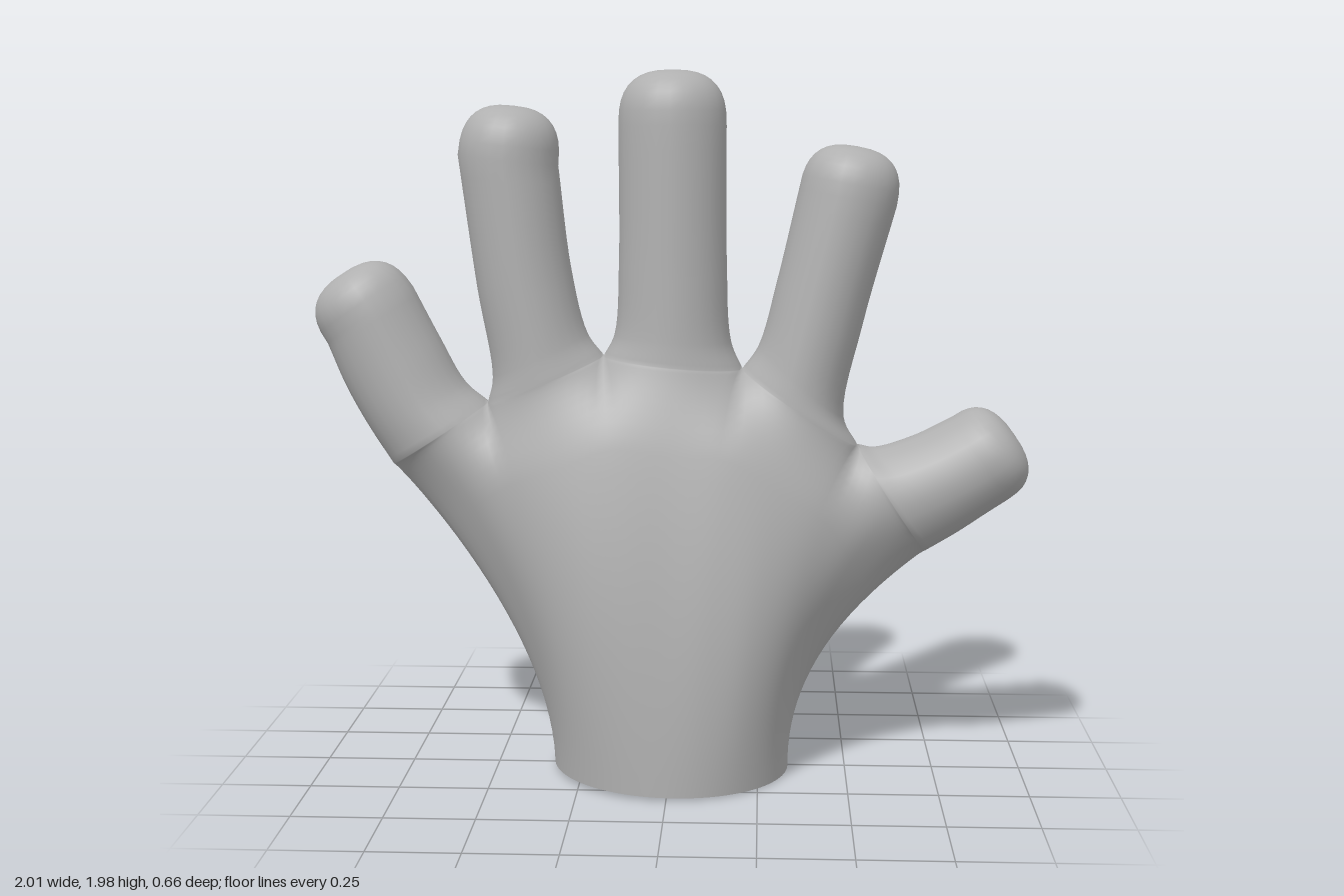
import * as THREE from 'three';
import { mergeVertices } from 'three/addons/utils/BufferGeometryUtils.js';

const ARC = 12;        // steps across the front of each finger column
const SPLIT = 0.8;     // how far up the palm the fingers begin to separate
const { lerp } = THREE.MathUtils;
const V = (x, y, z = 0) => new THREE.Vector3(x, y, z);

// Finger outlines, from web to cap: left edge, right edge, cap height
const FINGERS = [
  { name: 'littleFinger', cap: 0.14,
    left: [[-0.79, 0.88], [-0.86, 0.99], [-0.92, 1.1], [-0.97, 1.22]],
    right: [[-0.52, 1.055], [-0.585, 1.11], [-0.655, 1.235], [-0.73, 1.38]] },
  { name: 'ringFinger', cap: 0.15,
    left: [[-0.52, 1.055], [-0.505, 1.13], [-0.545, 1.38], [-0.595, 1.75]],
    right: [[-0.19, 1.19], [-0.235, 1.25], [-0.28, 1.43], [-0.315, 1.72]] },
  { name: 'middleFinger', cap: 0.152,
    left: [[-0.19, 1.19], [-0.16, 1.25], [-0.147, 1.45], [-0.147, 1.83]],
    right: [[0.2, 1.155], [0.168, 1.23], [0.155, 1.45], [0.153, 1.83]] },
  { name: 'indexFinger', cap: 0.14,
    left: [[0.2, 1.155], [0.245, 1.22], [0.295, 1.4], [0.355, 1.66]],
    right: [[0.525, 0.94], [0.485, 1.02], [0.535, 1.28], [0.625, 1.61]] },
  { name: 'thumb', cap: 0.115,
    left: [[0.525, 0.94], [0.57, 0.932], [0.68, 0.965], [0.79, 1.02]],
    right: [[0.72, 0.64], [0.81, 0.695], [0.89, 0.75], [0.95, 0.79]] },
];
const ROOT_DEPTH = 0.158;
const TIP_DEPTH = 0.146;

// Top edge of the palm: webs and finger-root centres, from left to right
const webs = [FINGERS[0].left[0], ...FINGERS.map((f) => f.right[0])];
const palmTop = [];
for (let k = 0; k <= 10; k++) {
  const a = webs[Math.floor(k / 2)], b = webs[Math.ceil(k / 2)];
  palmTop.push([(a[0] + b[0]) / 2, (a[1] + b[1]) / 2]);
}
const TOP_DEPTH = [0, 0.14, 0.15, 0.155, 0.16, 0.165, 0.16, 0.155, 0.15, 0.14, 0];

// Front half of an elliptical section between two edge points
function halfEllipse(left, right, depth) {
  const points = [];
  for (let i = 0; i <= ARC; i++) {
    const angle = (i / ARC) * Math.PI;
    const p = left.clone().lerp(right, (1 - Math.cos(angle)) / 2);
    p.z = depth * Math.sin(angle);
    points.push(p);
  }
  return points;
}

// Palm control point k (0 to 10 across the front) at height t
function palmControl(k, t) {
  const angle = (k / 10) * Math.PI;
  const wristX = -0.336 * Math.cos(angle);
  const wristY = 0.0075 - 0.022 * wristX;
  const bulge = 0.04 * Math.sin(Math.PI * t) * Math.sin(2 * angle) ** 2;
  return V(
    lerp(wristX, palmTop[k][0], t ** (1.7 + 0.05 * k)),
    lerp(wristY, palmTop[k][1], t),
    k % 10 === 0 ? 0 : lerp(0.33 * Math.sin(angle), TOP_DEPTH[k], t ** 2.1) + bulge,
  );
}

// One palm section; "split" moves it from a single loop to five finger roots
function palmRow(t, split) {
  const front = [];
  for (let k = 0; k <= 10; k++) front.push(palmControl(k, t));
  const back = front.slice(1, 10).reverse().map((p) => V(p.x, p.y, -p.z));
  const loop = new THREE.CatmullRomCurve3([...front, ...back], true, 'catmullrom');
  const row = [];
  for (let j = 0; j < 5; j++) {
    const l = front[2 * j], r = front[2 * j + 2];
    const roots = halfEllipse(V(l.x, l.y), V(r.x, r.y), ROOT_DEPTH);
    roots.forEach((root, i) => {
      if (j > 0 && i === 0) return;
      row.push(loop.getPoint((2 * j + (2 * i) / ARC) / 20).lerp(root, split));
    });
  }
  return row;
}

function palmRows() {
  const rows = [];
  for (let i = 0; i < 16; i++) rows.push(palmRow((SPLIT * i) / 16, 0));
  for (let i = 0; i <= 10; i++) {
    const angle = (i / 10) * Math.PI / 2;
    rows.push(palmRow(SPLIT + (1 - SPLIT) * Math.sin(angle), 1 - Math.cos(angle)));
  }
  return rows;
}

function fingerRows({ left, right, cap }) {
  const edge = (pts) => new THREE.CatmullRomCurve3(pts.map(([x, y]) => V(x, y)));
  const l = edge(left), r = edge(right);
  const rows = [];
  for (let i = 0; i <= 18; i++) {
    const v = i / 18;
    rows.push(halfEllipse(l.getPoint(v), r.getPoint(v), lerp(ROOT_DEPTH, TIP_DEPTH, v)));
  }
  // Blunt rounded cap
  const a = l.getPoint(1), b = r.getPoint(1);
  const centre = a.clone().add(b).multiplyScalar(0.5);
  const up = V(a.y - b.y, b.x - a.x).normalize();
  const base = rows[rows.length - 1];
  for (let i = 1; i <= 9; i++) {
    const angle = (i / 9) * Math.PI / 2;
    const scale = Math.cos(angle) ** 0.75;
    const lift = cap * Math.sin(angle) ** 0.75;
    rows.push(base.map((p) => p.clone().sub(centre).multiplyScalar(scale)
      .add(centre).addScaledVector(up, lift)));
  }
  return rows;
}

// Adds triangles for a grid of rows and for its mirror image at the back
function addSkin(out, rows) {
  const triangle = (a, b, c) => {
    for (const p of [a, b, c]) out.push(p.x, p.y, p.z);
    for (const p of [a, c, b]) out.push(p.x, p.y, -p.z);
  };
  for (let i = 0; i < rows.length - 1; i++) {
    for (let m = 0; m < rows[i].length - 1; m++) {
      const a = rows[i][m], b = rows[i][m + 1];
      const c = rows[i + 1][m + 1], d = rows[i + 1][m];
      triangle(a, b, c);
      triangle(a, c, d);
    }
  }
}

export function createModel() {
  const hand = new THREE.Group();
  hand.name = 'hand';
  const skin = new THREE.MeshStandardMaterial({ color: 0xb0b0b0, side: THREE.DoubleSide });
  skin.name = 'grey skin';

  // Collect every part in one skin, so normals run smoothly across the joins
  const positions = [];
  const parts = [];
  const addPart = (name, rows) => {
    const start = positions.length;
    addSkin(positions, rows);
    parts.push({ name, start, end: positions.length });
  };
  addPart('palm', palmRows());
  for (const finger of FINGERS) addPart(finger.name, fingerRows(finger));

  const soup = new THREE.BufferGeometry();
  soup.setAttribute('position', new THREE.Float32BufferAttribute(positions, 3));
  const welded = mergeVertices(soup, 1e-4);
  welded.computeVertexNormals();
  const smooth = welded.toNonIndexed();

  // Cut the smoothed skin back into named parts
  for (const { name, start, end } of parts) {
    const geometry = new THREE.BufferGeometry();
    for (const key of ['position', 'normal']) {
      const values = smooth.getAttribute(key).array.slice(start, end);
      geometry.setAttribute(key, new THREE.BufferAttribute(values, 3));
    }
    const mesh = new THREE.Mesh(mergeVertices(geometry), skin);
    mesh.name = name;
    hand.add(mesh);
  }
  return hand;
}
